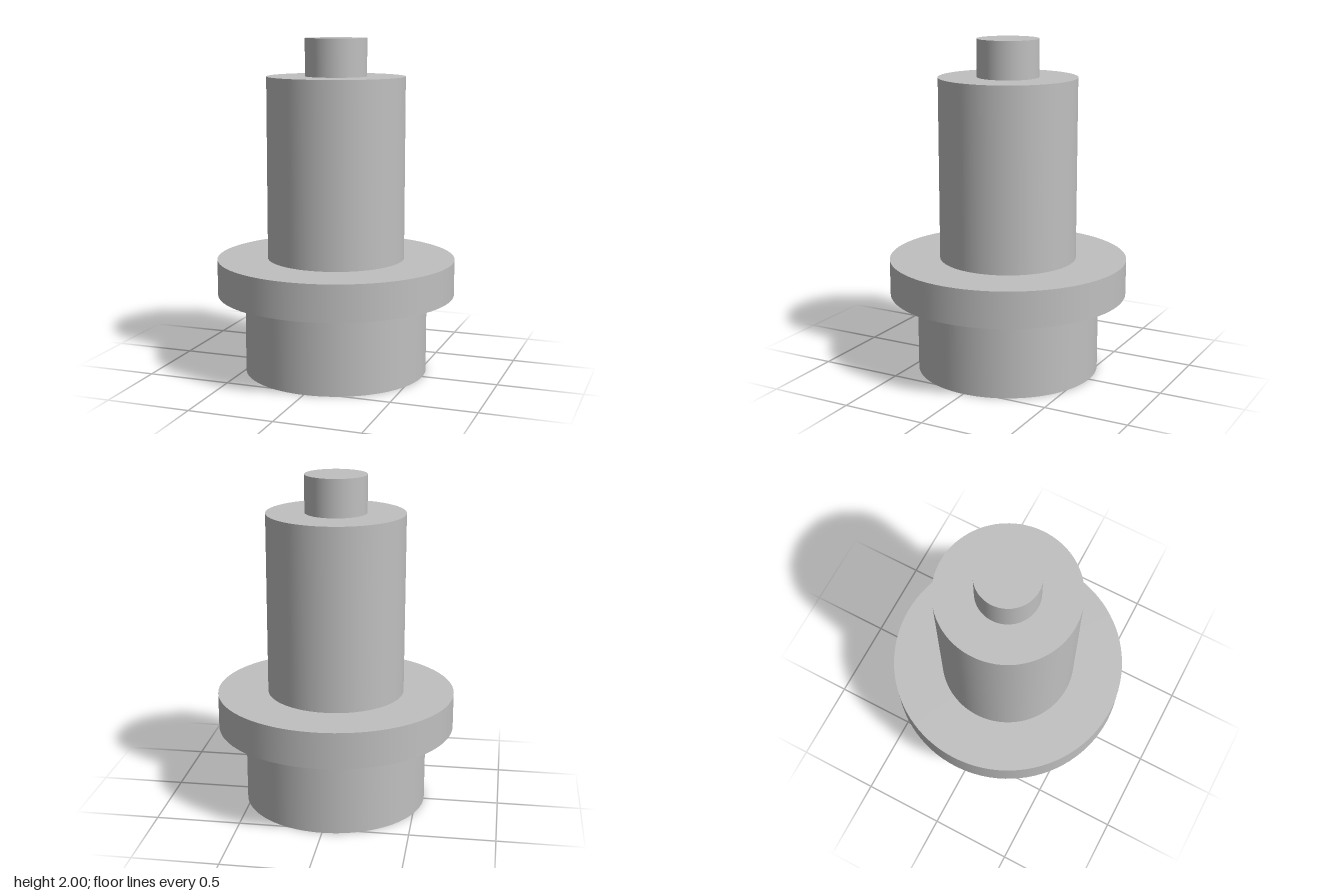
import * as THREE from 'three';

// Turned, stepped shaft: each section is [name, radius, bottom, top]
const SECTIONS = [
  ['base', 0.548, 0, 0.476],
  ['flange', 0.712, 0.476, 0.692],
  ['body', 0.41, 0.692, 1.777],
  ['tipPin', 0.183, 1.777, 2],
];

export function createModel() {
  const model = new THREE.Group();
  model.name = 'steppedShaft';

  const steel = new THREE.MeshStandardMaterial({ color: 0xc0c0c0 });
  steel.name = 'grey steel';

  // Stack the coaxial cylinders from the floor up
  for (const [name, radius, bottom, top] of SECTIONS) {
    const geometry = new THREE.CylinderGeometry(radius, radius, top - bottom, 96);
    const mesh = new THREE.Mesh(geometry, steel);
    mesh.name = name;
    mesh.position.y = (bottom + top) / 2;
    model.add(mesh);
  }
  return model;
}
